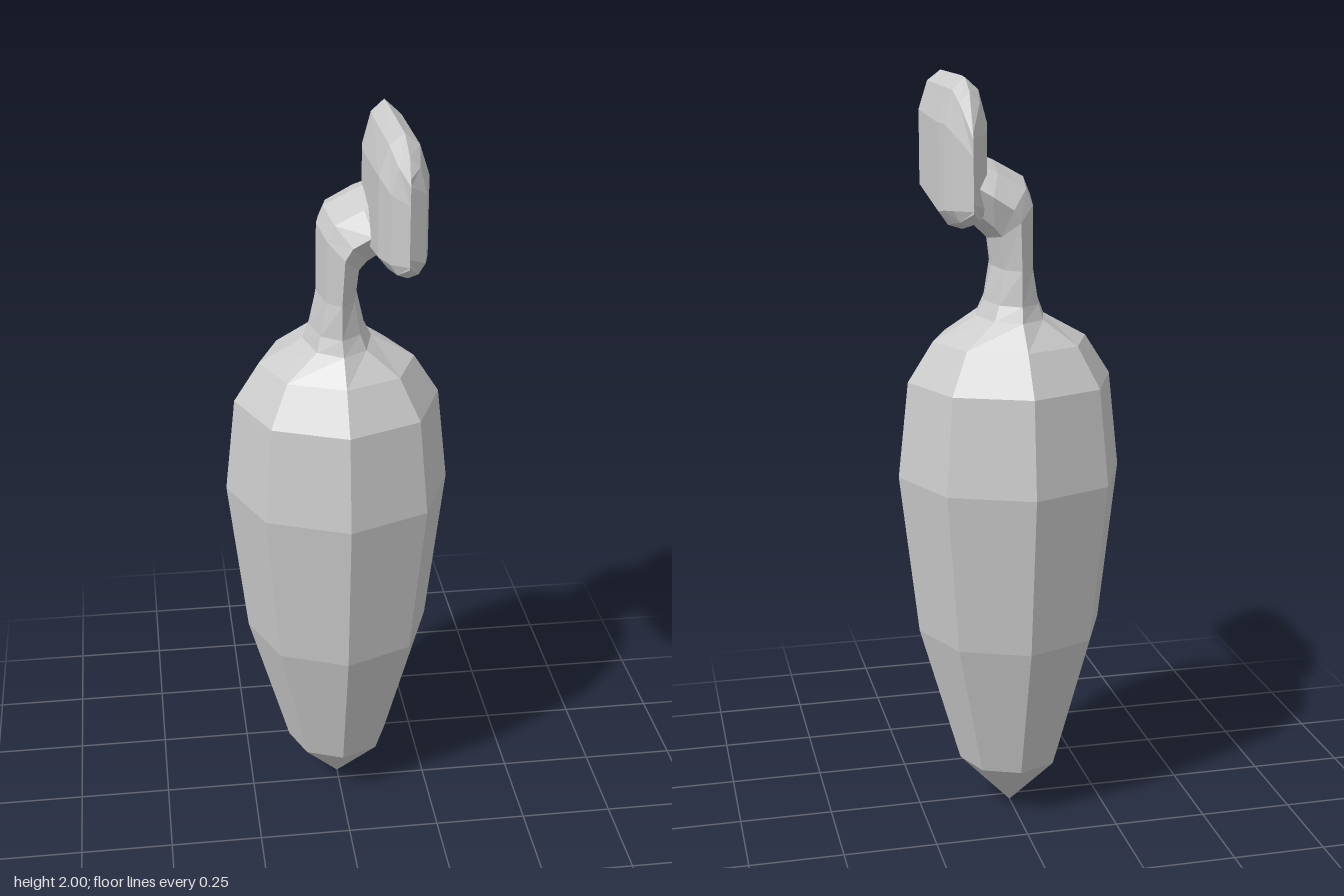
import * as THREE from 'three';

const material = new THREE.MeshStandardMaterial({ color: 0xcccccc, flatShading: true });

// Skin a list of closed rings, each an array of [x, y, z] running counter-clockwise about the path.
function loft(rings, name) {
  const n = rings[0].length;
  const index = [];
  for (let i = 0; i < rings.length - 1; i++) {
    for (let j = 0; j < n; j++) {
      const k = (j + 1) % n;
      const a = i * n + j, b = i * n + k, c = a + n, d = b + n;
      index.push(a, b, d, a, d, c);
    }
  }
  const geometry = new THREE.BufferGeometry();
  geometry.setAttribute('position', new THREE.Float32BufferAttribute(rings.flat(2), 3));
  geometry.setIndex(index);
  geometry.computeVertexNormals();
  const mesh = new THREE.Mesh(geometry, material);
  mesh.name = name;
  return mesh;
}

// Octagonal ring spanning two points in the xy plane, with its own depth along z.
function octagon([x0, y0, x1, y1, depth, cz = -0.035]) {
  return Array.from({ length: 8 }, (_, j) => {
    const t = (j / 8) * Math.PI * 2;
    const u = (1 + Math.cos(t)) / 2;
    return [x0 + (x1 - x0) * u, y0 + (y1 - y0) * u, cz - depth * Math.sin(t)];
  });
}

// Bevelled upright cross-section of the head at one z.
const headSection = [[1, 0.12], [1, 0.7], [0.6, 0.92], [0, 1], [-0.6, 0.92],
  [-1, 0.7], [-1, 0.12], [-0.6, 0.03], [0, 0], [0.6, 0.03]];
const headRing = ([z, halfWidth, bottom, top]) =>
  headSection.map(([u, v]) => [0.125 + u * halfWidth, bottom + v * (top - bottom), z]);

export function createModel() {
  const group = new THREE.Group();
  group.name = 'model';

  // Bulbous body: [radius, height]
  const body = [[0, 0], [0.14, 0.145], [0.25, 0.53], [0.3, 0.965], [0.272, 1.22], [0.205, 1.325]]
    .map(([r, y]) => [-r, y, r, y, r]);

  // Flattened neck that bends sideways: [left x, left y, right x, right y, half depth, centre z]
  const neck = [
    [-0.09, 1.39, 0.09, 1.39, 0.148],
    [-0.075, 1.43, 0.07, 1.43, 0.133],
    [-0.055, 1.52, 0.05, 1.52, 0.13],
    [-0.053, 1.7, 0.06, 1.59, 0.142],
    [-0.035, 1.745, 0.08, 1.61, 0.145],
    [0.045, 1.79, 0.1, 1.63, 0.148, -0.025],
    [0.1, 1.81, 0.13, 1.66, 0.13, -0.025],
  ];
  group.add(loft([...body, ...neck].map(octagon), 'bodyAndNeck'));

  // Narrow head, lofted from back to front: [z, half width, bottom, top]
  const head = [
    [-0.18, 0, 1.67, 1.87],
    [-0.135, 0.043, 1.635, 1.965],
    [-0.085, 0.055, 1.625, 1.997],
    [-0.035, 0.061, 1.615, 2],
    [0.235, 0.06, 1.66, 2],
    [0.31, 0.042, 1.672, 1.965],
    [0.335, 0, 1.7, 1.92],
  ];
  group.add(loft(head.map(headRing), 'head'));
  return group;
}
